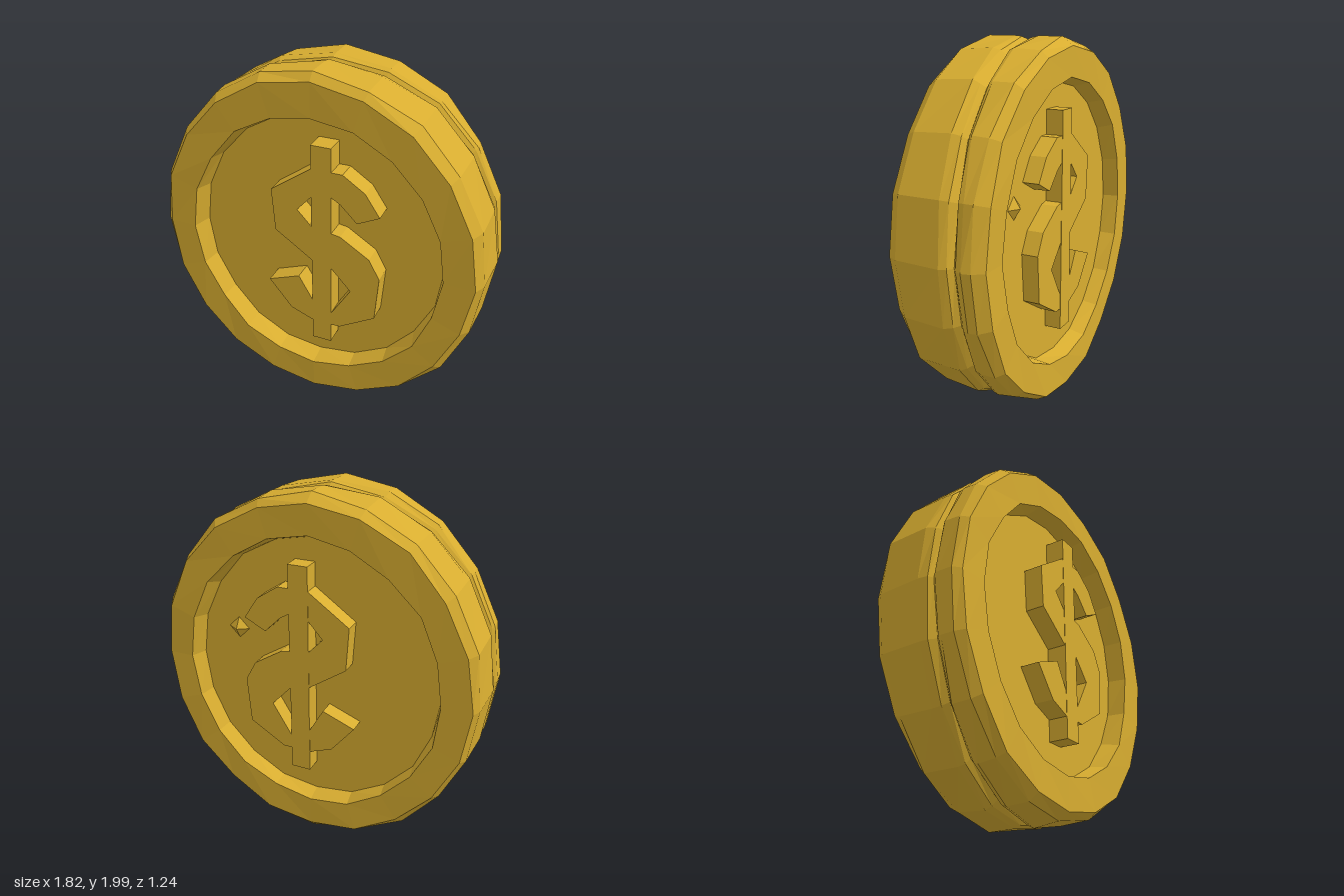
import * as THREE from 'three';

const gold = new THREE.MeshStandardMaterial({ color: 0xd8ad30, flatShading: true });
gold.name = 'gold';

// Small repeatable noise in -1..1
const noise = (a, b) => {
  const s = Math.sin(a * 127.1 + b * 311.7) * 43758.5453;
  return (s - Math.floor(s)) * 2 - 1;
};

// Rough-hewn coin: rings from the front centre, over the rim, to the back centre.
// Each ring: [radius factor, z, slant of the ring along x, radius jitter, z jitter]
function coinBody() {
  const SEG = 20, RX = 0.925, RY = 1.0;
  const rings = [
    [0, 0.155, 0, 0, 0],
    [0.745, 0.155, 0, 0.006, 0],      // front floor
    [0.768, 0.262, 0, 0.008, 0.003],  // front recess lip
    [0.945, 0.262, 0, 0.008, 0.004],  // front face edge
    [0.982, 0.215, 0, 0.008, 0.015],
    [0.992, 0.06, -0.09, 0.007, 0.015],
    [0.978, 0.025, -0.1, 0.006, 0.006],
    [0.945, 0.0, -0.1, 0.006, 0.006], // slanted groove round the rim
    [0.978, -0.025, -0.1, 0.006, 0.006],
    [0.992, -0.06, -0.09, 0.007, 0.015],
    [0.982, -0.215, 0, 0.008, 0.015],
    [0.945, -0.262, 0, 0.008, 0.004], // back face edge
    [0.78, -0.262, 0, 0.008, 0.003],
    [0.755, -0.172, 0, 0.006, 0],     // back floor
    [0, -0.172, 0, 0, 0],
  ];
  const point = (i, j) => {
    const [r, z, slant, jr, jz] = rings[i];
    const k = j % SEG, a = (k / SEG) * Math.PI * 2;
    const f = r + noise(i + 1, k + 1) * jr;
    return [RX * f * Math.cos(a), RY * f * Math.sin(a),
      z + slant * Math.cos(a) + noise(i + 31, k + 7) * jz];
  };
  const pos = [];
  for (let i = 0; i < rings.length - 1; i++) {
    for (let j = 0; j < SEG; j++) {
      const a = point(i, j), b = point(i + 1, j), c = point(i + 1, j + 1), d = point(i, j + 1);
      if (rings[i + 1][0] > 0) pos.push(...a, ...b, ...c);
      if (rings[i][0] > 0) pos.push(...a, ...c, ...d);
    }
  }
  const g = new THREE.BufferGeometry();
  g.setAttribute('position', new THREE.Float32BufferAttribute(pos, 3));
  g.computeVertexNormals();
  return g;
}

// Raised currency sign that passes through the coin and shows on both faces
function signCurve() {
  const pts = [
    [-0.226, 0.34], [0, 0.5], [0.17, 0.5], [0.29, 0.42], [0.37, 0.3], [0.25, 0.24],
    [0.16, 0.33], [0.11, 0.36], [0, 0.34], [-0.08, 0.25], [0, 0.165], [0.16, 0.14],
    [0.32, 0.04], [0.38, -0.07], [0.36, -0.33], [0.16, -0.45], [0, -0.45], [-0.13, -0.4],
    [-0.26, -0.24], [-0.08, -0.17], [0, -0.31], [0.11, -0.37], [0.22, -0.19],
    [0.11, -0.07], [0, -0.045], [-0.21, 0.1],
  ].map(([x, y]) => new THREE.Vector2(x, y));
  const g = new THREE.ExtrudeGeometry(new THREE.Shape(pts), { depth: 0.526, bevelEnabled: false });
  return g.translate(0, 0, -0.263);
}

export function createModel() {
  const model = new THREE.Group();
  model.name = 'coin';
  const add = (name, geometry, x = 0, y = 0, z = 0) => {
    const m = new THREE.Mesh(geometry, gold);
    m.name = name;
    m.position.set(x, y, z);
    model.add(m);
    return m;
  };

  add('coinBody', coinBody());
  add('signCurve', signCurve());
  add('signBar', new THREE.BoxGeometry(0.11, 1.2, 0.53), 0.055, 0.03, 0);

  // Small chip of metal on the back floor
  const chip = add('backChip', new THREE.ConeGeometry(0.08, 0.05, 4), 0.46, 0.19, -0.185);
  chip.rotation.x = -Math.PI / 2;

  // Turn the coin and stand it on the ground
  model.rotation.y = THREE.MathUtils.degToRad(-26);
  model.updateMatrixWorld(true);
  model.position.y = -new THREE.Box3().setFromObject(model, true).min.y;

  const root = new THREE.Group();
  root.name = 'coinModel';
  root.add(model);
  return root;
}
